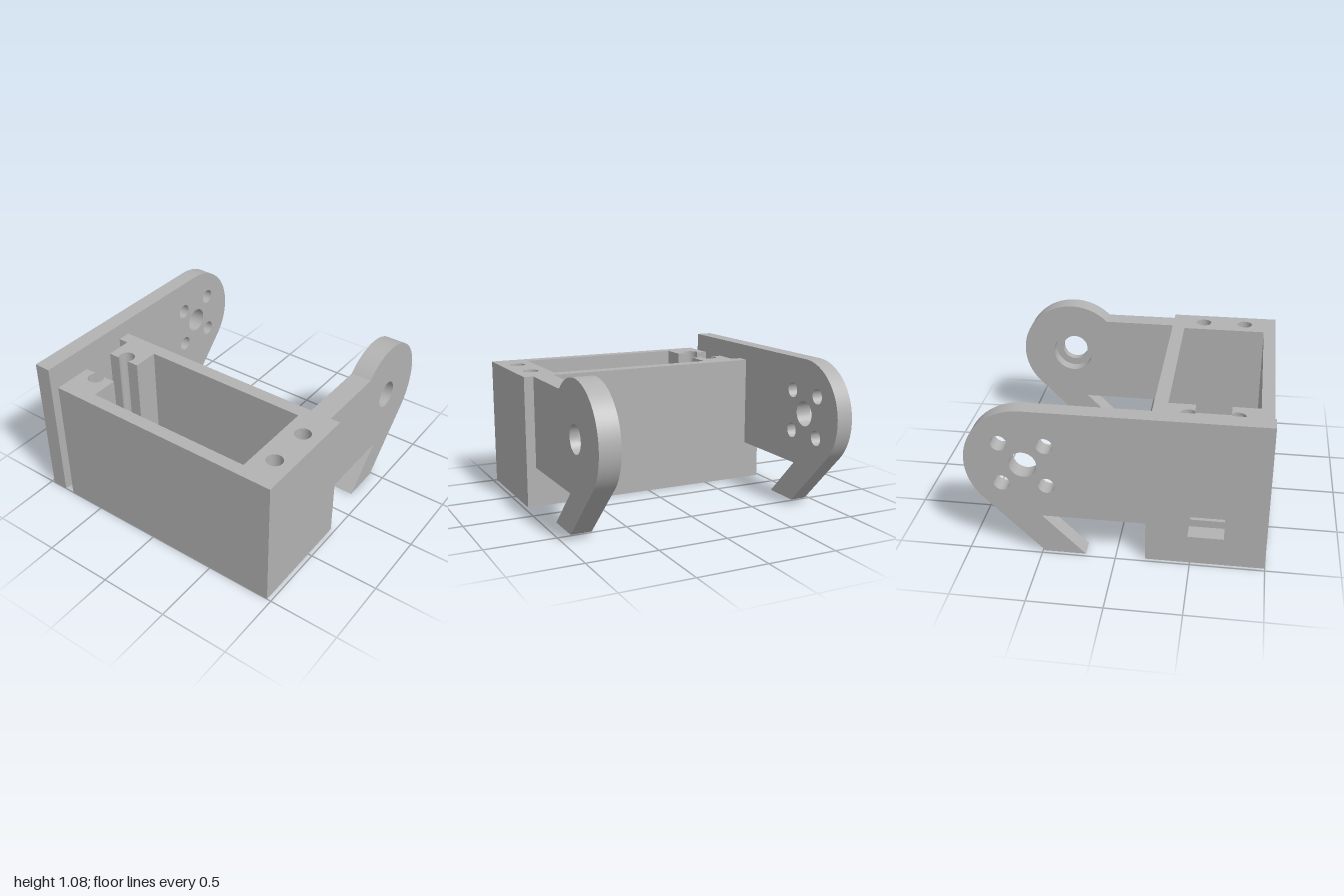
import * as THREE from 'three';
import { toCreasedNormals } from 'three/addons/utils/BufferGeometryUtils.js';

const PIVOT = { x: 0.605, y: 0.68, r: 0.395 };

function circle(x, y, r) {
  return new THREE.Path().absarc(x, y, r, 0, Math.PI * 2, false);
}

function polygon(points) {
  return new THREE.Shape(points.map(([x, y]) => new THREE.Vector2(x, y)));
}

// Diagonal foot and rounded end, shared by both arms; the arc stops at endAngle
function addFootAndRoundEnd(shape, endAngle) {
  shape.lineTo(0.495, 0.29);
  shape.lineTo(0.205, 0);
  shape.lineTo(0.483, 0);
  shape.absarc(PIVOT.x, PIVOT.y, PIVOT.r, -Math.PI / 4, endAngle, false);
}

export function createModel() {
  const model = new THREE.Group();
  model.name = 'motorBracket';
  const grey = new THREE.MeshStandardMaterial({ color: 0xb2b2b2 });
  grey.name = 'plainGrey';

  function add(name, geometry, parent = model) {
    const mesh = new THREE.Mesh(geometry, grey);
    mesh.name = name;
    parent.add(mesh);
  }

  // Extrude an outline in the xy plane from z0 to z1
  function plate(shape, z0, z1) {
    const g = new THREE.ExtrudeGeometry(shape, { depth: z1 - z0, bevelEnabled: false, curveSegments: 40 });
    g.translate(0, 0, z0);
    return toCreasedNormals(g, 0.5);
  }

  // Extrude a floor plan (x, -z) upwards from y0 to y1
  const upright = (shape, y0, y1) => plate(shape, y0, y1).rotateX(-Math.PI / 2);

  // Motor housing: solid floor with a small drain hole
  const housing = new THREE.Group();
  housing.name = 'housing';
  model.add(housing);
  const floorY = 0.21;
  const floor = polygon([[-1, -0.97], [-0.2, -0.97], [-0.2, 0.78], [-1, 0.78]]);
  floor.holes.push(circle(-0.6, 0.22, 0.04));
  add('housingFloor', upright(floor, 0, floorY), housing);

  // Housing walls: a ring opened at the back by a slot with two screw grooves
  const r = 0.057, a = Math.acos(0.04 / r);
  const walls = new THREE.Shape();
  walls.moveTo(-1, -0.97);
  walls.lineTo(-0.2, -0.97);
  walls.lineTo(-0.2, 0.78);
  walls.lineTo(-0.48, 0.78);
  walls.absarc(-0.44, 0.655, r, Math.PI - a, -Math.PI + a, true);
  for (const [x, y] of [[-0.48, 0.525], [-0.295, 0.525], [-0.295, -0.71],
    [-0.91, -0.71], [-0.91, 0.525], [-0.72, 0.525]]) walls.lineTo(x, y);
  walls.absarc(-0.76, 0.655, r, -a, a, true);
  walls.lineTo(-0.72, 0.78);
  walls.lineTo(-1, 0.78);
  walls.closePath();
  for (const x of [-0.76, -0.44]) walls.holes.push(circle(x, -0.84, r));
  add('housingWalls', upright(walls, floorY, 0.96), housing);

  // Narrow web joining the housing to the back plate
  const web = new THREE.BoxGeometry(0.095, 0.96, 0.075);
  web.translate(-0.2475, 0.48, -0.8175);
  add('joiningWeb', web);

  // Back plate with cable window, pivot hole and four screw holes
  const back = new THREE.Shape();
  back.moveTo(-1, 0);
  back.lineTo(-0.2, 0);
  back.lineTo(-0.2, 0.29);
  addFootAndRoundEnd(back, Math.PI / 2);
  back.lineTo(-1, PIVOT.y + PIVOT.r);
  back.closePath();
  back.holes.push(
    new THREE.Path(polygon([[-0.72, 0.21], [-0.72, 0.37], [-0.48, 0.37], [-0.48, 0.21]]).getPoints()),
    circle(PIVOT.x, PIVOT.y, 0.092));
  for (const dx of [-0.15, 0.15])
    for (const dy of [-0.15, 0.15])
      back.holes.push(circle(PIVOT.x + dx, PIVOT.y + dy, 0.055));
  add('backPlate', plate(back, -0.975, -0.855));

  // Front arm in two layers: a wide bearing seat inside, a smaller hole outside
  const frontArm = new THREE.Group();
  frontArm.name = 'frontArm';
  model.add(frontArm);
  for (const [name, radius, z0, z1] of [
    ['bearingSeatLayer', 0.155, 0.75, 0.84], ['outerLayer', 0.1, 0.84, 0.9]]) {
    const arm = new THREE.Shape();
    arm.moveTo(-0.2, 0.29);
    addFootAndRoundEnd(arm, Math.PI - Math.asin((0.96 - PIVOT.y) / PIVOT.r));
    arm.lineTo(-0.2, 0.96);
    arm.closePath();
    arm.holes.push(circle(PIVOT.x, PIVOT.y, radius));
    add(name, plate(arm, z0, z1), frontArm);
  }
  return model;
}
